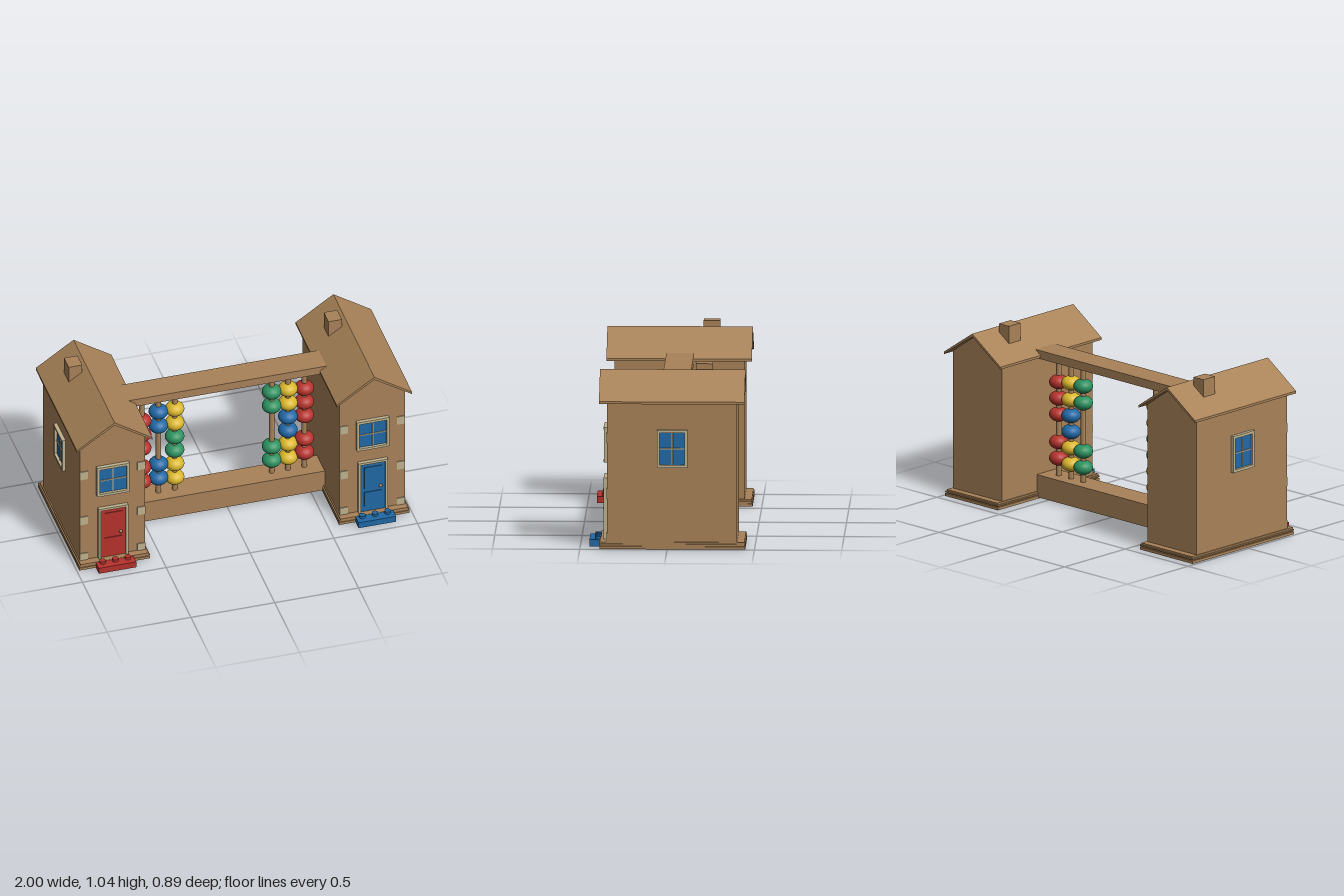
import * as THREE from 'three';

const mat = (name, color) => Object.assign(new THREE.MeshStandardMaterial({ color }), { name });
const wood = mat('wood', 0xa88258);
const trim = mat('stone trim', 0xbfb28e);
const red = mat('red paint', 0xb5322c);
const blue = mat('blue paint', 0x2068a5);
const yellow = mat('yellow paint', 0xd9b62c);
const green = mat('green paint', 0x2c9160);

function add(parent, name, geometry, material, x = 0, y = 0, z = 0) {
  const mesh = new THREE.Mesh(geometry, material);
  mesh.name = name;
  mesh.position.set(x, y, z);
  parent.add(mesh);
  return mesh;
}

// Box given by its lower and upper limits on each axis
function box(parent, name, material, x0, x1, y0, y1, z0, z1) {
  return add(parent, name, new THREE.BoxGeometry(x1 - x0, y1 - y0, z1 - z0), material,
    (x0 + x1) / 2, (y0 + y1) / 2, (z0 + z1) / 2);
}

// Outline in x and y, extruded from z0 to z1
function prism(parent, name, material, points, z0, z1) {
  const shape = new THREE.Shape(points.map(([x, y]) => new THREE.Vector2(x, y)));
  const geometry = new THREE.ExtrudeGeometry(shape, { depth: z1 - z0, bevelEnabled: false });
  return add(parent, name, geometry, material, 0, 0, z0);
}

// Window facing +z, centred on its own origin with the wall at z = 0
function makeWindow(w, h) {
  const g = new THREE.Group();
  g.name = 'window';
  const t = 0.016;
  box(g, 'glass', blue, -w + t, w - t, -h + t, h - t, 0, 0.006);
  for (const s of [-1, 1]) {
    add(g, 'windowJamb', new THREE.BoxGeometry(t, h * 2, 0.02), trim, s * (w - t / 2), 0, 0.01);
    add(g, 'windowRail', new THREE.BoxGeometry((w - t) * 2, t, 0.022), trim, 0, s * (h - t / 2), 0.011);
  }
  box(g, 'verticalGlazingBar', trim, -0.003, 0.003, -h + t, h - t, 0.004, 0.011);
  box(g, 'horizontalGlazingBar', trim, -w + t, w - t, -0.003, 0.003, 0.004, 0.011);
  return g;
}

// Door, its frame and the studded step, with the wall at z = 0.345
function makeDoor(paint) {
  const g = new THREE.Group();
  g.name = 'door';
  box(g, 'doorLeaf', paint, -0.074, 0.074, 0.04, 0.38, 0.345, 0.353);
  for (const s of [-1, 1]) {
    add(g, 'doorJamb', new THREE.BoxGeometry(0.014, 0.353, 0.022), trim, s * 0.081, 0.2165, 0.356);
  }
  box(g, 'doorLintel', trim, -0.074, 0.074, 0.379, 0.393, 0.345, 0.367);
  box(g, 'upperDoorPanel', paint, -0.05, 0.056, 0.2, 0.35, 0.352, 0.357);
  box(g, 'lowerDoorPanel', paint, -0.05, 0.056, 0.075, 0.175, 0.352, 0.357);
  add(g, 'doorKnob', new THREE.SphereGeometry(0.01, 16, 12), wood, 0.045, 0.21, 0.362);
  box(g, 'doorStep', paint, -0.112, 0.112, 0, 0.038, 0.35, 0.448);
  for (const x of [-0.075, 0, 0.075]) {
    add(g, 'stepStud', new THREE.CylinderGeometry(0.018, 0.018, 0.017, 24), paint, x, 0.0455, 0.4);
  }
  return g;
}

function makeHouse(name, paint, side) {
  const g = new THREE.Group();
  g.name = name;
  g.position.x = side * 0.775;

  // Walls with gables, on a grooved plinth
  prism(g, 'walls', wood,
    [[-0.195, 0.03], [0.195, 0.03], [0.195, 0.86], [0, 0.995], [-0.195, 0.86]], -0.4, 0.345);
  box(g, 'plinthFoot', wood, -0.21, 0.21, 0, 0.016, -0.447, 0.387);
  box(g, 'plinthGroove', wood, -0.202, 0.202, 0.016, 0.022, -0.44, 0.382);
  box(g, 'plinthMiddle', wood, -0.21, 0.21, 0.022, 0.03, -0.447, 0.387);
  box(g, 'plinthTop', wood, -0.202, 0.202, 0.03, 0.04, -0.442, 0.387);

  // Pitched roof and chimney
  prism(g, 'roof', wood,
    [[-0.225, 0.843], [0, 0.992], [0.225, 0.843], [0.225, 0.857], [0, 1.01], [-0.225, 0.857]],
    -0.443, 0.39);
  box(g, 'chimney', wood, -0.112, -0.032, 0.9, 1.038, -0.255, -0.16);

  // Stone corner blocks on the front
  for (const [y0, y1] of [[0.612, 0.667], [0.292, 0.347], [0.04, 0.088]]) {
    for (const s of [-1, 1]) {
      add(g, 'cornerStone', new THREE.BoxGeometry(0.048, y1 - y0, 0.006), trim,
        s * 0.171, (y0 + y1) / 2, 0.347);
    }
  }

  // Front and outer side windows
  const front = makeWindow(0.097, 0.102);
  front.position.set(0, 0.585, 0.345);
  const outer = makeWindow(0.088, 0.109);
  outer.position.set(side * 0.195, 0.582, -0.029);
  outer.rotation.y = side * Math.PI / 2;
  g.add(front, outer, makeDoor(paint));
  return g;
}

export function createModel() {
  const model = new THREE.Group();
  model.name = 'beadFrameHouses';
  model.add(makeHouse('rightHouse', red, -1), makeHouse('leftHouse', blue, 1));

  // Beams joining the houses
  box(model, 'topBeam', wood, -0.593, 0.593, 0.835, 0.885, -0.112, 0.047);
  box(model, 'bottomBeam', wood, -0.59, 0.59, 0.006, 0.14, -0.112, 0.047);

  // Rods threaded with beads, listed as [colour, heights]
  const z = -0.033;
  const bead = new THREE.SphereGeometry(0.056, 32, 20).scale(1, 0.76, 1);
  const top = [0.712, 0.612], middle = [0.516, 0.42], low = [0.324, 0.227], raised = [0.34, 0.243];
  const rods = [
    [-0.49, [[red, [0.666, 0.57, 0.473, 0.336, 0.238]]]],
    [-0.39, [[blue, [...top, ...raised]]]],
    [-0.293, [[yellow, [...top, ...low]], [green, middle]]],
    [0.286, [[green, [...top, ...low]]]],
    [0.383, [[yellow, [...top, ...low]], [blue, middle]]],
    [0.481, [[red, [0.698, 0.601, 0.505, ...raised]]]],
  ];
  for (const [x, strings] of rods) {
    add(model, 'rod', new THREE.CylinderGeometry(0.016, 0.016, 0.72, 24), wood, x, 0.488, z);
    for (const [paint, heights] of strings) {
      for (const y of heights) add(model, 'bead', bead, paint, x, y, z);
    }
  }
  return model;
}
